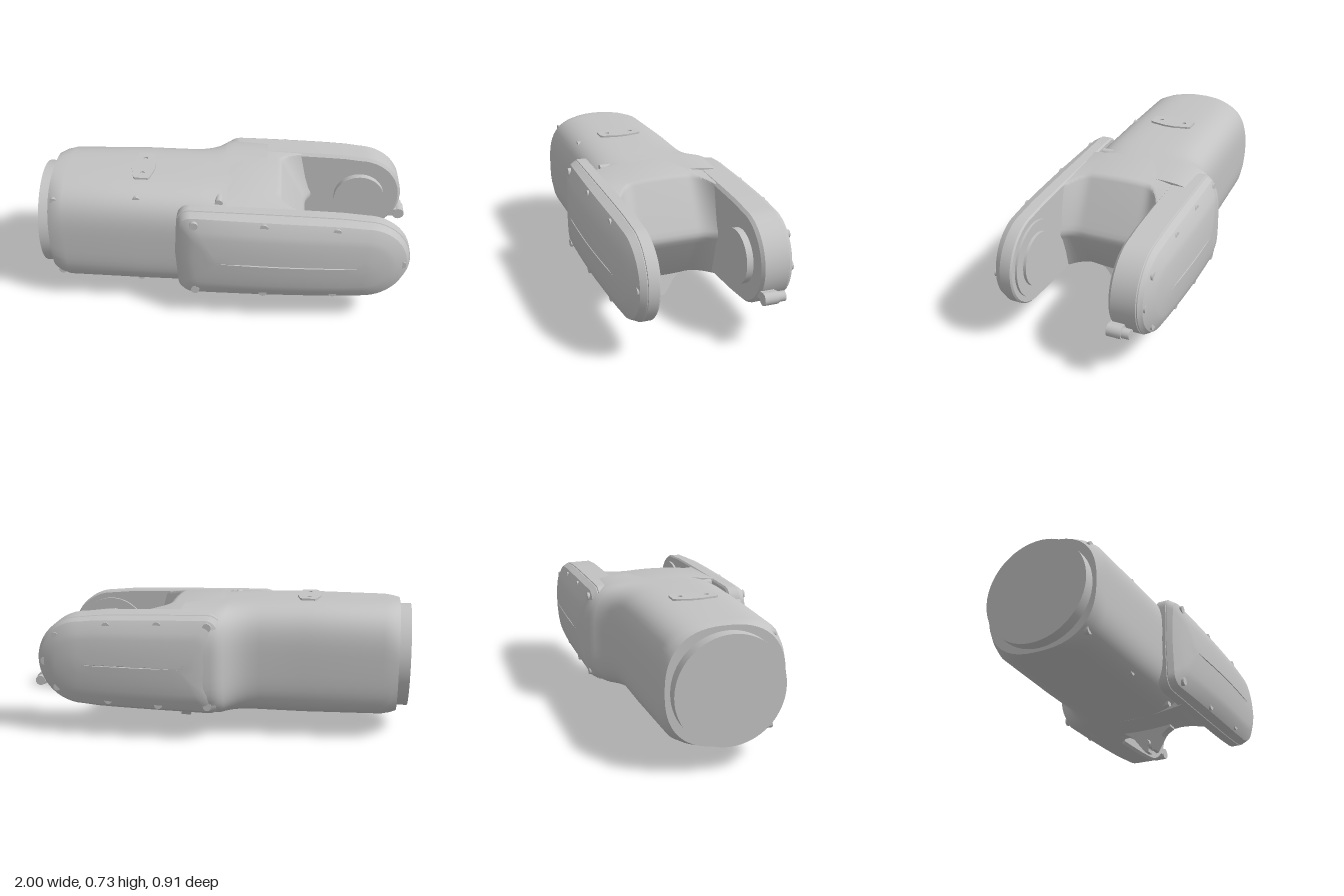
import * as THREE from 'three';
import { toCreasedNormals } from 'three/addons/utils/BufferGeometryUtils.js';

const metal = new THREE.MeshStandardMaterial({ color: 0xc3c3c3 });
metal.name = 'light grey metal';
const V = (x, y, z) => new THREE.Vector3(x, y, z);

// Closed solid through equal-length rings, capped with fans and turned outwards
function loft(rings, crease = 0.5) {
  const tris = [];
  const n = rings[0].length;
  const fan = (ring, flip) => {
    const c = ring.reduce((s, p) => s.add(p), V(0, 0, 0)).divideScalar(n);
    ring.forEach((p, i) => {
      const q = ring[(i + 1) % n];
      tris.push(flip ? [c, q, p] : [c, p, q]);
    });
  };
  for (let r = 0; r < rings.length - 1; r++) {
    for (let i = 0; i < n; i++) {
      const j = (i + 1) % n, A = rings[r], B = rings[r + 1];
      tris.push([A[i], A[j], B[j]], [A[i], B[j], B[i]]);
    }
  }
  fan(rings[0], true);
  fan(rings[rings.length - 1], false);
  let volume = 0;
  for (const [a, b, c] of tris) volume += a.dot(b.clone().cross(c));
  const pts = tris.flatMap(([a, b, c]) => (volume < 0 ? [a, c, b] : [a, b, c]));
  return toCreasedNormals(new THREE.BufferGeometry().setFromPoints(pts), crease);
}

// Rounded-square ring across the body at x
function bodyRing([x, z0, z1, y0, y1, n]) {
  const ring = [];
  const pw = (v) => Math.sign(v) * Math.abs(v) ** (2 / n);
  for (let i = 0; i < 64; i++) {
    const t = ((i + 0.5) / 64) * Math.PI * 2;
    ring.push(V(x, (y0 + y1) / 2 + (pw(Math.sin(t)) * (y1 - y0)) / 2,
      (z0 + z1) / 2 + (pw(Math.cos(t)) * (z1 - z0)) / 2));
  }
  return ring;
}

// Tapered arm outline with a round nose, shrunk by d; bow pulls the ends inwards
function armRing(x0, z, d, side, bow) {
  const pts = [];
  const r = 0.24 - d, c = Math.max(0.07 - d * 0.3, 0) * Math.min(1, r / 0.05);
  const top = 0.68 - d * 1.125, bottom = 0.148 + d * 1.09, left = x0 + d * 0.9;
  const add = (x, y) => pts.push(V(x, y, side * (z - bow * ((x - 0.36) / 0.6) ** 2)));
  for (let i = 0; i <= 24; i++) {
    const a = -Math.PI / 2 + (i / 24) * Math.PI;
    add(0.72 + r * Math.cos(a), 0.41 + r * Math.sin(a));
  }
  for (let i = 1; i < 8; i++) {
    const t = i / 8;
    add(0.72 + (left + c - 0.72) * t, 0.41 + r + (top - 0.41 - r) * Math.sqrt(t));
  }
  for (let i = 0; i <= 6; i++) {
    const a = (i / 6) * Math.PI / 2;
    add(left + c - c * Math.sin(a), top - c + c * Math.cos(a));
  }
  add(left - 0.012, 0.41);
  for (let i = 0; i <= 6; i++) {
    const a = (i / 6) * Math.PI / 2;
    add(left + c - c * Math.cos(a), bottom + c - c * Math.sin(a));
  }
  for (let i = 7; i > 0; i--) {
    const t = i / 8;
    add(0.72 + (left + c - 0.72) * t, 0.41 - r + (bottom - 0.41 + r) * Math.sqrt(t));
  }
  return pts;
}

export function createModel() {
  const model = new THREE.Group();
  model.name = 'forkedArmLink';
  const add = (name, geometry) => {
    const mesh = new THREE.Mesh(geometry, metal);
    mesh.name = name;
    model.add(mesh);
    return mesh;
  };
  // Cylinder along z or x between two positions
  const rodZ = (name, x, y, z0, z1, r, seg = 20) => {
    const m = add(name, new THREE.CylinderGeometry(r, r, Math.abs(z1 - z0), seg));
    m.rotation.x = Math.PI / 2;
    m.position.set(x, y, (z0 + z1) / 2);
  };
  const rodX = (name, x0, x1, y, z, r, seg, tilt = 0) => {
    const m = add(name, new THREE.CylinderGeometry(r, r, x1 - x0, seg));
    m.rotation.z = Math.PI / 2 + tilt;
    m.position.set((x0 + x1) / 2, y, z);
  };

  // Main housing: x, back z, front z, bottom, top, squareness
  add('body', loft([
    [-0.94, -0.283, 0.318, 0.115, 0.712, 2.5],
    [-0.91, -0.288, 0.325, 0.113, 0.715, 3],
    [-0.86, -0.291, 0.328, 0.112, 0.716, 3.6],
    [-0.45, -0.303, 0.333, 0.108, 0.718, 3.7],
    [-0.22, -0.308, 0.338, 0.11, 0.712, 3.7],
    [-0.16, -0.315, 0.34, 0.112, 0.71, 3.7],
    [-0.11, -0.333, 0.34, 0.114, 0.708, 3.7],
    [-0.07, -0.36, 0.34, 0.115, 0.706, 3.7],
    [-0.04, -0.395, 0.34, 0.117, 0.705, 3.7],
    [-0.02, -0.42, 0.34, 0.118, 0.704, 3.8],
    [0.02, -0.436, 0.34, 0.12, 0.702, 3.8],
    [0.2, -0.436, 0.34, 0.122, 0.695, 3.8],
  ].map(bodyRing), 0.7));
  rodX('endFlange', -1, -0.92, 0.41, 0.02, 0.277, 64);

  // Web at the fork root: a rounded ridge facing the slot, filleted into both arms
  const web = [];
  for (let i = 0; i <= 42; i++) {
    const z = -0.3 + (i / 42) * 0.63;
    const near = Math.min(Math.max(z + 0.24, 0), Math.max(0.31 - z, 0));
    const f = Math.max(0, 1 - near / 0.12) ** 2;
    const e = 0.15 * f, k = 0.05 * f;
    const top = 0.7 - 0.28 * z * z, bottom = 0.118 + 0.3 * z * z;
    const topEdge = top - 0.12 * e, bottomEdge = bottom + 0.12 * e;
    web.push([
      [0, bottom], [0.25 + e, bottomEdge], [0.275 + e, bottomEdge + 0.015],
      [0.395 + k, 0.35], [0.413 + k, 0.378], [0.419 + k, 0.4], [0.415 + k, 0.42], [0.403 + k, 0.445],
      [0.285 + e, topEdge - 0.022], [0.275 + e, topEdge - 0.007], [0.255 + e, topEdge], [0, top + 0.003],
    ].map(([x, y]) => V(x, y, z)));
  }
  add('forkWeb', loft(web, 0.8));

  // Fork arms, built as outlines stacked outwards, ending in a chamfered cover
  const arm = (name, side, x0, layers) => add(name,
    loft(layers.map(([z, d, bow]) => armRing(x0, z, d, side, bow)), 0.35));
  const cover = [
    [0.4, 0.02, 0.012], [0.436, 0.075, 0.026], [0.444, 0.11, 0.028],
    [0.45, 0.15, 0.03], [0.454, 0.195, 0.03], [0.456, 0.237, 0.03],
  ];
  arm('frontArm', 1, -0.255, [[0.292, 0.008, 0], [0.3, 0, 0], [0.352, 0, 0], [0.354, 0.004, 0], [0.358, 0.004, 0], ...cover]);
  arm('backArm', -1, -0.03, [[0.22, 0.012, 0], [0.235, -0.002, 0], [0.36, 0, 0], [0.363, 0.004, 0], [0.368, 0.004, 0], ...cover]);

  // Joint bosses inside the fork
  rodZ('frontBossRing', 0.725, 0.41, 0.28, 0.3, 0.2, 48);
  rodZ('frontBoss', 0.725, 0.41, 0.265, 0.29, 0.14, 48);
  rodZ('backBoss', 0.725, 0.41, -0.23, -0.186, 0.14, 48);

  // Cover bolts, sunk into the chamfers
  const boltRows = [[1, -0.16, 0.624, 0.2], [1, 0.2, 0.624, 0.198], [1, 0.57, 0.612, 0.213],
    [-1, 0.04, 0.624, 0.2], [-1, 0.3, 0.624, 0.198], [-1, 0.57, 0.612, 0.213]];
  for (const [s, x, hi, lo] of boltRows) {
    for (const y of [hi, lo]) rodZ('coverBolt', x, y, s * 0.37, s * 0.414, 0.022);
  }
  for (const s of [1, -1]) rodZ('noseBolt', 0.915, 0.41, s * 0.36, s * 0.4, 0.022);
  for (const y of [0.55, 0.27]) rodZ('backNoseBolt', 0.85, y, -0.408, -0.37, 0.02);

  // Housing bolts along the front edges
  for (const [x, hi, lo] of [[-0.905, 0.643, 0.183], [-0.47, 0.668, 0.158], [-0.04, 0.668, 0.155]]) {
    for (const y of [hi, lo]) rodZ('housingBolt', x, y, 0.2, 0.268, 0.021);
  }

  // Service plate on top with two screw holes
  const plateShape = new THREE.Shape([
    [-0.035, -0.12], [0.035, -0.12], [0.045, -0.105], [0.062, -0.03], [0.062, 0.03], [0.045, 0.105],
    [0.035, 0.12], [-0.035, 0.12], [-0.045, 0.105], [-0.062, 0.03], [-0.062, -0.03], [-0.045, -0.105],
  ].map(([x, y]) => new THREE.Vector2(x, y)));
  for (const y of [-0.07, 0.07]) {
    plateShape.holes.push(new THREE.Path().absarc(0, y, 0.012, 0, Math.PI * 2, true));
  }
  const plate = add('topPlate', new THREE.ExtrudeGeometry(plateShape, { depth: 0.03, bevelEnabled: false }));
  plate.rotation.x = -Math.PI / 2;
  plate.position.set(-0.457, 0.696, 0.02);

  // Triangular lug underneath, with a notch at its tip and a cross pin
  const lugShape = new THREE.Shape();
  lugShape.moveTo(-0.15, 0.14);
  lugShape.lineTo(-0.15, 0.115);
  lugShape.quadraticCurveTo(-0.11, 0.1, -0.09, 0.075);
  lugShape.lineTo(-0.04, 0.008);
  lugShape.lineTo(-0.025, 0.004);
  lugShape.absarc(-0.013, 0.015, 0.012, Math.PI, 0, true);
  lugShape.lineTo(0, 0);
  lugShape.lineTo(0.025, 0.006);
  lugShape.lineTo(0.075, 0.075);
  lugShape.quadraticCurveTo(0.095, 0.1, 0.13, 0.115);
  lugShape.lineTo(0.13, 0.14);
  const lug = add('lowerLug', new THREE.ExtrudeGeometry(lugShape, { depth: 0.055, bevelEnabled: false })
    .rotateY(Math.PI / 2));
  // Lean the lug so that its tip points slightly forward along the arm
  const lp = lug.geometry.attributes.position;
  for (let i = 0; i < lp.count; i++) lp.setX(i, lp.getX(i) + 0.205 - lp.getY(i) * 0.25);
  lug.geometry.computeVertexNormals();
  lug.position.z = 0.022;
  rodX('lugPin', 0.168, 0.28, 0.055, 0.025, 0.018, 20, 0.25);

  // Small hinge pin beside the back arm's nose
  rodZ('hingeKnuckle', 0.965, 0.28, -0.3, -0.225, 0.033);
  rodZ('hingePin', 0.965, 0.28, -0.34, -0.29, 0.026);
  const tab = add('hingeTab', new THREE.BoxGeometry(0.09, 0.045, 0.07));
  tab.position.set(0.92, 0.287, -0.262);
  return model;
}
